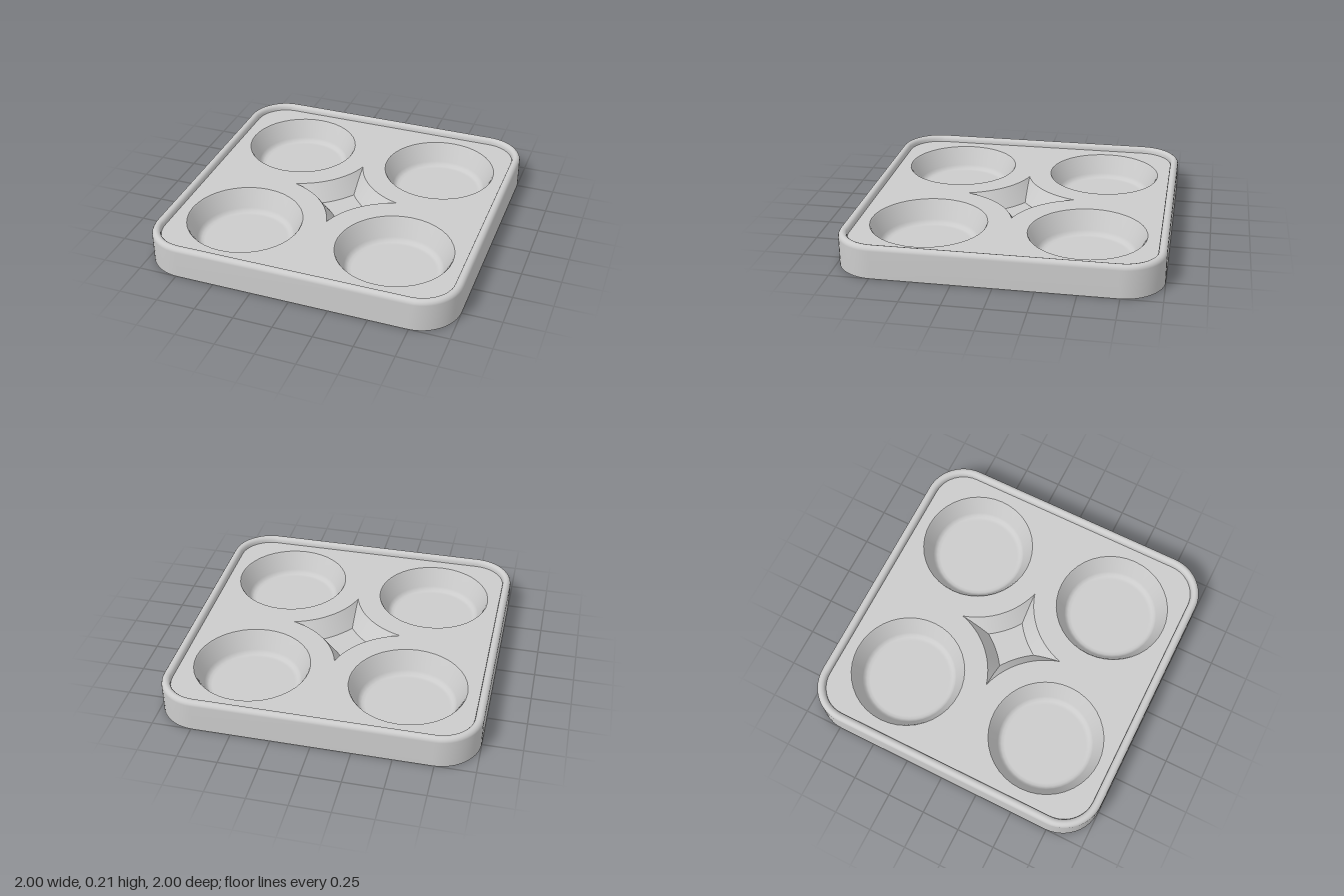
import * as THREE from 'three';

const DECK = 0.17, CUP_R = 0.37, CUP_AT = 0.5, SEG = 40;
const mat = new THREE.MeshStandardMaterial({ color: 0xcccccc, side: THREE.DoubleSide });

// Rounded square outline, inset from the outer edge, counter-clockwise
function outline(inset) {
  const pts = [], n = 12, r = 0.26 - inset;
  for (let c = 0; c < 4; c++) {
    for (let i = 0; i <= n; i++) {
      const a = (c + i / n) * Math.PI / 2, m = (c + 0.5) * Math.PI / 2;
      pts.push(new THREE.Vector2(
        Math.sign(Math.cos(m)) * 0.74 + r * Math.cos(a),
        Math.sign(Math.sin(m)) * 0.74 + r * Math.sin(a)));
    }
  }
  return pts;
}

// Arc of radius r around one cup centre, between the two axes it crosses
function starArc(c, r, n = 16) {
  const m = (c + 0.5) * Math.PI / 2, half = Math.PI / 4 - Math.acos(CUP_AT / r);
  const cx = Math.sign(Math.cos(m)) * CUP_AT, cy = Math.sign(Math.sin(m)) * CUP_AT;
  return Array.from({ length: n + 1 }, (_, i) => {
    const a = m + Math.PI + half * (1 - 2 * i / n);
    return new THREE.Vector2(cx + r * Math.cos(a), cy + r * Math.sin(a));
  });
}
const star = r => [0, 1, 2, 3].flatMap(c => starArc(c, r).slice(0, -1));

// Skin over rings of plan points; each ring is { pts, y }
function skin(rings, closed) {
  const pos = [], idx = [], n = rings[0].pts.length;
  rings.forEach(({ pts, y }) => pts.forEach(p => pos.push(p.x, y, -p.y)));
  for (let j = 0; j < rings.length - 1; j++) {
    for (let i = 0; i < (closed ? n : n - 1); i++) {
      const k = (i + 1) % n, a = j * n + i, b = j * n + k;
      idx.push(a, b, b + n, a, b + n, a + n);
    }
  }
  const g = new THREE.BufferGeometry();
  g.setAttribute('position', new THREE.Float32BufferAttribute(pos, 3));
  g.setIndex(idx);
  g.computeVertexNormals();
  return g;
}

function flat(shape, y) {
  return new THREE.ShapeGeometry(shape).rotateX(-Math.PI / 2).translate(0, y, 0);
}

export function createModel() {
  const group = new THREE.Group();
  const add = (name, geometry) => {
    const mesh = new THREE.Mesh(geometry, mat);
    mesh.name = name;
    group.add(mesh);
    return mesh;
  };

  // Outer wall rolling over into the raised lip and down to the deck
  const profile = [[0, 0], [0, 0.18], [0.003, 0.193], [0.01, 0.203], [0.02, 0.209], [0.03, 0.21],
    [0.042, 0.206], [0.05, 0.197], [0.054, 0.185], [0.055, DECK]];
  add('wallAndLip', skin(profile.map(([inset, y]) => ({ pts: outline(inset), y })), true));

  // Deck with four round openings and a star opening
  const deck = new THREE.Shape(outline(0.055));
  for (const x of [-CUP_AT, CUP_AT]) for (const y of [-CUP_AT, CUP_AT]) {
    deck.holes.push(new THREE.Path(Array.from({ length: SEG }, (_, i) => {
      const a = i / SEG * Math.PI * 2;
      return new THREE.Vector2(x + CUP_R * Math.cos(a), y + CUP_R * Math.sin(a));
    })));
  }
  deck.holes.push(new THREE.Path(star(0.52)));
  add('deck', flat(deck, DECK));

  // Four round cups with sloping sides
  const cup = new THREE.LatheGeometry(
    [[CUP_R, DECK], [0.363, 0.161], [0.31, 0.05], [0.3, 0.033], [0.285, 0.023], [0.265, 0.02], [0, 0.02]]
      .map(([r, y]) => new THREE.Vector2(r, y)), SEG);
  for (const x of [-CUP_AT, CUP_AT]) for (const z of [-CUP_AT, CUP_AT]) {
    add('cup', cup).position.set(x, 0, z);
  }

  // Central star hollow: four curved walls meeting in valleys, and a floor
  const floorY = 0.055, rings = 5;
  for (let c = 0; c < 4; c++) {
    add('starWall', skin(Array.from({ length: rings }, (_, j) => {
      const t = j / (rings - 1);
      return { pts: starArc(c, 0.6 - 0.08 * t).reverse(), y: floorY + (DECK - floorY) * t };
    }), false));
  }
  add('starFloor', flat(new THREE.Shape(star(0.6)), floorY));

  return group;
}
